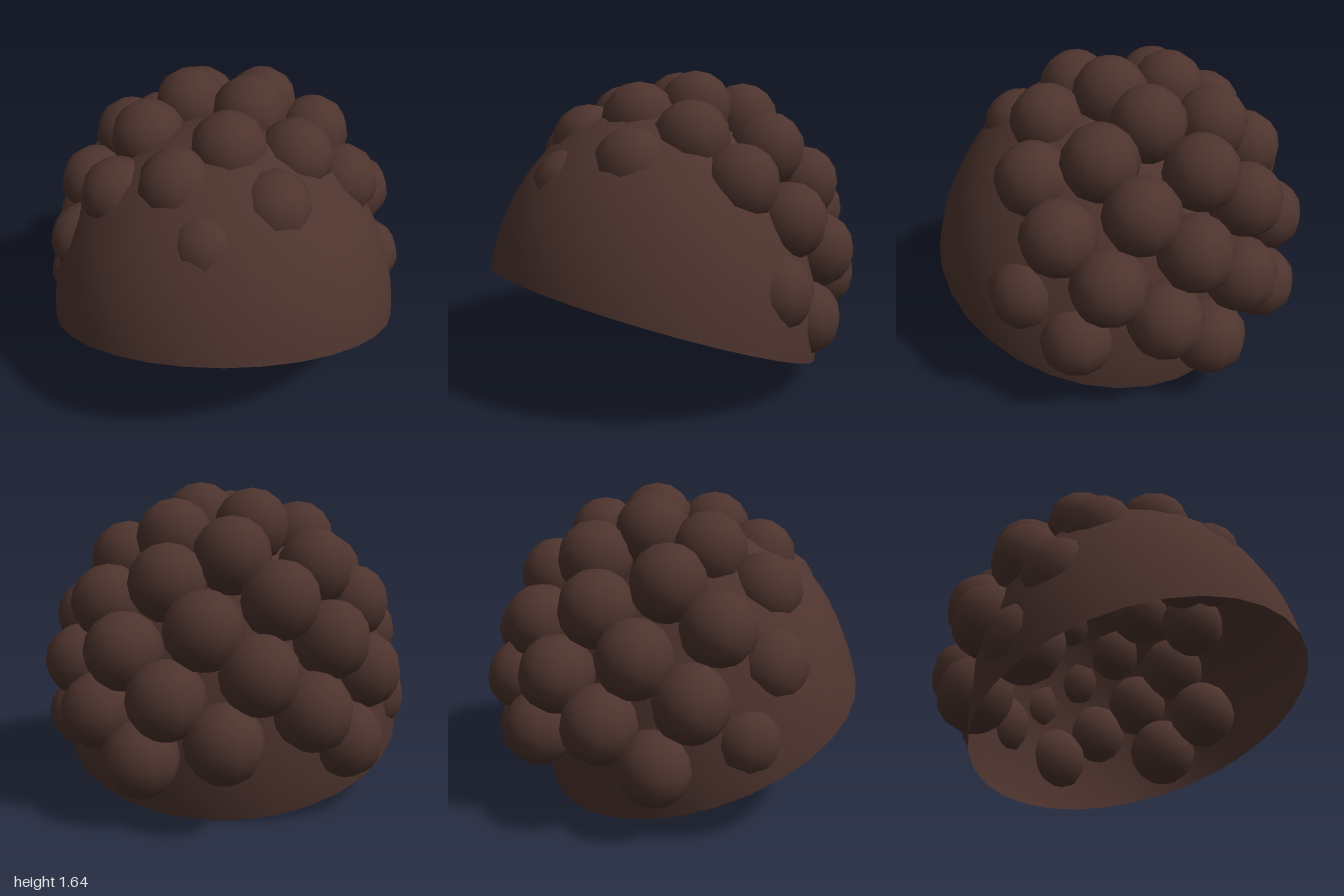
import * as THREE from 'three';

export function createModel() {
  const model = new THREE.Group();
  model.name = 'curlyHair';
  const brown = new THREE.MeshStandardMaterial({ color: 0x4e342e, side: THREE.DoubleSide });
  brown.name = 'dark brown';

  // Hair cap: open hemisphere tipped back, then stretched to an ellipsoid
  const capGeometry = new THREE.SphereGeometry(1, 32, 16, 0, Math.PI * 2, 0, Math.PI / 2);
  capGeometry.rotateX(-0.29);
  capGeometry.scale(0.94, 1.136, 0.8715);
  const cap = new THREE.Mesh(capGeometry, brown);
  cap.name = 'hairCap';
  cap.position.set(0, 0.335, 0.165);
  model.add(cap);

  // Curls: balls on a golden-angle spiral from the crown down, leaving the face clear
  const curls = new THREE.Group();
  curls.name = 'curls';
  const curlGeometry = new THREE.SphereGeometry(0.196, 10, 8);
  curlGeometry.rotateY(Math.PI / 2);
  const golden = Math.PI * (3 - Math.sqrt(5));
  for (let i = 0; i < 46; i++) {
    const up = 1 - (i + 0.5) / 35;
    const ring = 0.79 * Math.sqrt(1 - up * up);
    const x = ring * Math.cos(i * golden);
    const y = 0.595 + 0.87 * up;
    const z = -0.035 - ring * Math.sin(i * golden);
    if (i > 15 && z > 0.22) continue;
    const curl = new THREE.Mesh(curlGeometry, brown);
    curl.name = 'curl';
    curl.position.set(x, y, z);
    curls.add(curl);
  }
  model.add(curls);
  return model;
}
